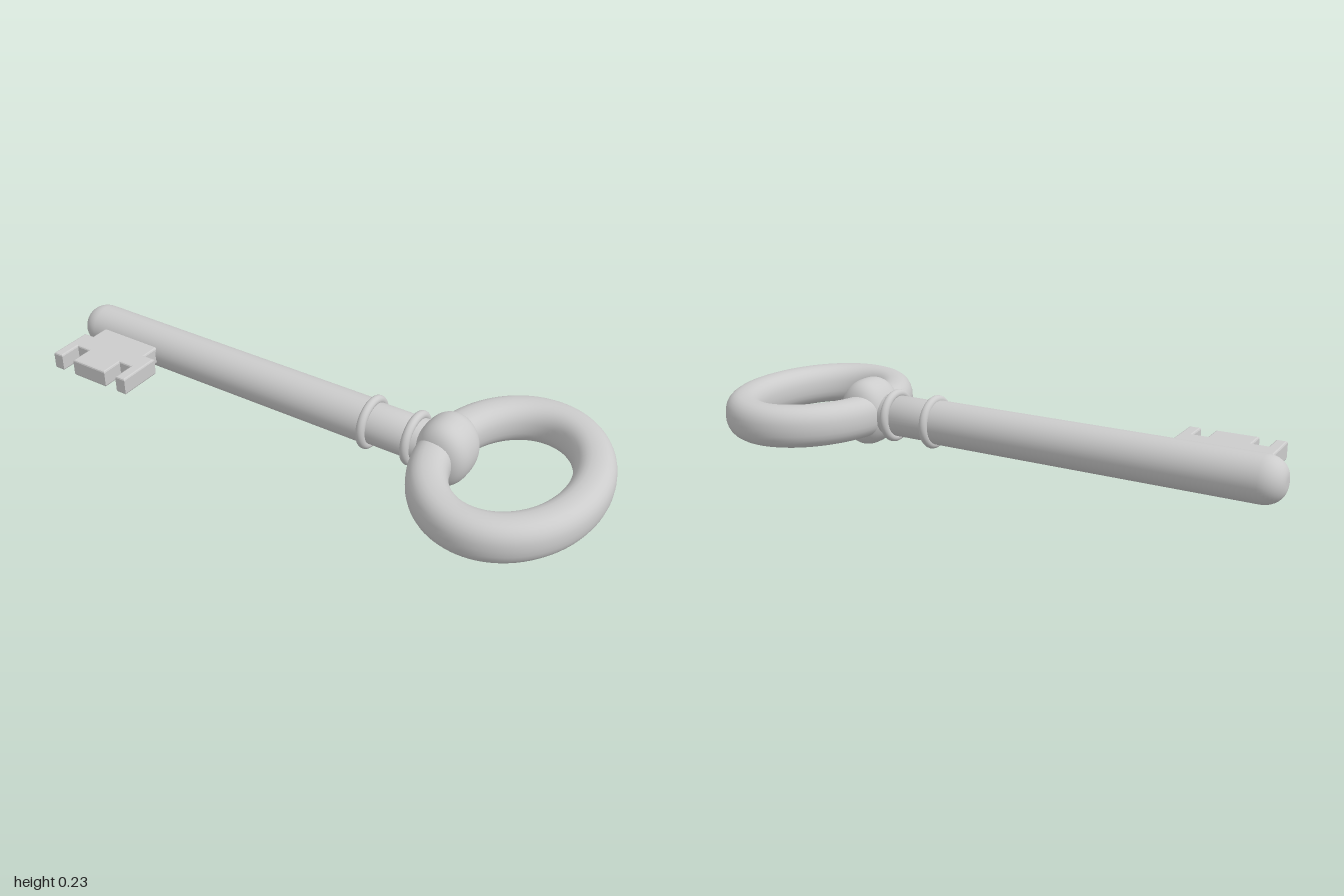
import * as THREE from 'three';

const CY = 0.116; // height of the key's centre plane

// Point on a superellipse with half sizes a, b
function superPoint(t, a, b, n) {
  const c = Math.cos(t), s = Math.sin(t);
  return new THREE.Vector2(
    a * Math.sign(c) * Math.abs(c) ** (2 / n),
    b * Math.sign(s) * Math.abs(s) ** (2 / n));
}

export function createModel() {
  const key = new THREE.Group();
  key.name = 'key';
  const material = new THREE.MeshStandardMaterial({ color: 0xcccccc });

  function add(name, geometry, x = 0, y = CY, z = 0) {
    const mesh = new THREE.Mesh(geometry, material);
    mesh.name = name;
    mesh.position.set(x, y, z);
    key.add(mesh);
    return mesh;
  }

  // Shaft: round bar with a rounded tip, stepping down to a narrower neck
  const profile = [new THREE.Vector2(0, -1)];
  for (let i = 0; i <= 10; i++) {
    const a = (i / 10) * Math.PI / 2;
    profile.push(new THREE.Vector2(0.016 + 0.06 * Math.sin(a), -0.93 - 0.07 * Math.cos(a)));
  }
  for (const [r, x] of [[0.076, -0.9], [0.076, 0.2], [0.071, 0.215], [0.071, 0.45], [0, 0.45]]) {
    profile.push(new THREE.Vector2(r, x));
  }
  const shaft = new THREE.LatheGeometry(profile, 48);
  shaft.rotateZ(-Math.PI / 2);
  add('shaft', shaft);

  // Two raised collars around the neck
  for (const x of [0.207, 0.367]) {
    const collar = new THREE.TorusGeometry(0.077, 0.015, 16, 48);
    collar.rotateY(Math.PI / 2);
    add('collar', collar, x);
  }

  // Knuckle: squarish ball joining the neck and the bow
  const ballProfile = [];
  for (let i = 0; i <= 32; i++) {
    const p = superPoint(-Math.PI / 2 + (i / 32) * Math.PI, 0.117, 0.092, 2.8);
    ballProfile.push(new THREE.Vector2(Math.max(p.x, 0), p.y));
  }
  const ball = new THREE.LatheGeometry(ballProfile, 48);
  ball.rotateX(Math.PI / 2);
  ball.scale(0.8, 1, 1);
  add('knuckle', ball, 0.478, 0.118);

  // Bow: oval ring, its vertices swept along an ellipse
  const bow = new THREE.TorusGeometry(1, 0.3, 28, 96);
  const pos = bow.attributes.position, uv = bow.attributes.uv;
  for (let i = 0; i < pos.count; i++) {
    const u = uv.getX(i) * Math.PI * 2;
    const p = superPoint(uv.getY(i) * Math.PI * 2, 0.065, 0.072, 2.3);
    const out = new THREE.Vector2(Math.cos(u) / 0.237, Math.sin(u) / 0.314).normalize();
    pos.setXYZ(i,
      0.237 * Math.cos(u) + out.x * p.x,
      p.y,
      -(0.314 * Math.sin(u) + out.y * p.x));
  }
  bow.computeVertexNormals();
  // Share the normals across the seams of the ring and its section
  const nor = bow.attributes.normal;
  const weld = (a, b) => {
    const n = new THREE.Vector3().fromBufferAttribute(nor, a)
      .add(new THREE.Vector3().fromBufferAttribute(nor, b)).normalize();
    nor.setXYZ(a, n.x, n.y, n.z);
    nor.setXYZ(b, n.x, n.y, n.z);
  };
  for (let j = 0; j <= 28; j++) weld(j * 97, j * 97 + 96);
  for (let i = 0; i <= 96; i++) weld(i, 28 * 97 + i);
  add('bow', bow, 0.697, 0.115);

  // Bit: flat notched plate on the front of the shaft, with softened edges
  const b = 0.006;
  const outline = [
    [-0.88, 0.03], [-0.88, 0.13], [-0.918, 0.13], [-0.918, 0.287], [-0.88, 0.287],
    [-0.88, 0.208], [-0.828, 0.208], [-0.828, 0.287], [-0.685, 0.287], [-0.685, 0.208],
    [-0.635, 0.208], [-0.635, 0.287], [-0.595, 0.287], [-0.595, 0.13], [-0.638, 0.13],
    [-0.638, 0.03],
  ].map(([x, z]) => new THREE.Vector2(x, z));
  const bit = new THREE.ExtrudeGeometry(new THREE.Shape(outline), {
    depth: 0.062 - 2 * b, bevelEnabled: true, bevelThickness: b, bevelSize: b,
    bevelOffset: -b, bevelSegments: 2,
  });
  bit.translate(0, 0, b - 0.031);
  bit.rotateX(Math.PI / 2);
  add('bit', bit, 0, 0.119);

  return key;
}
